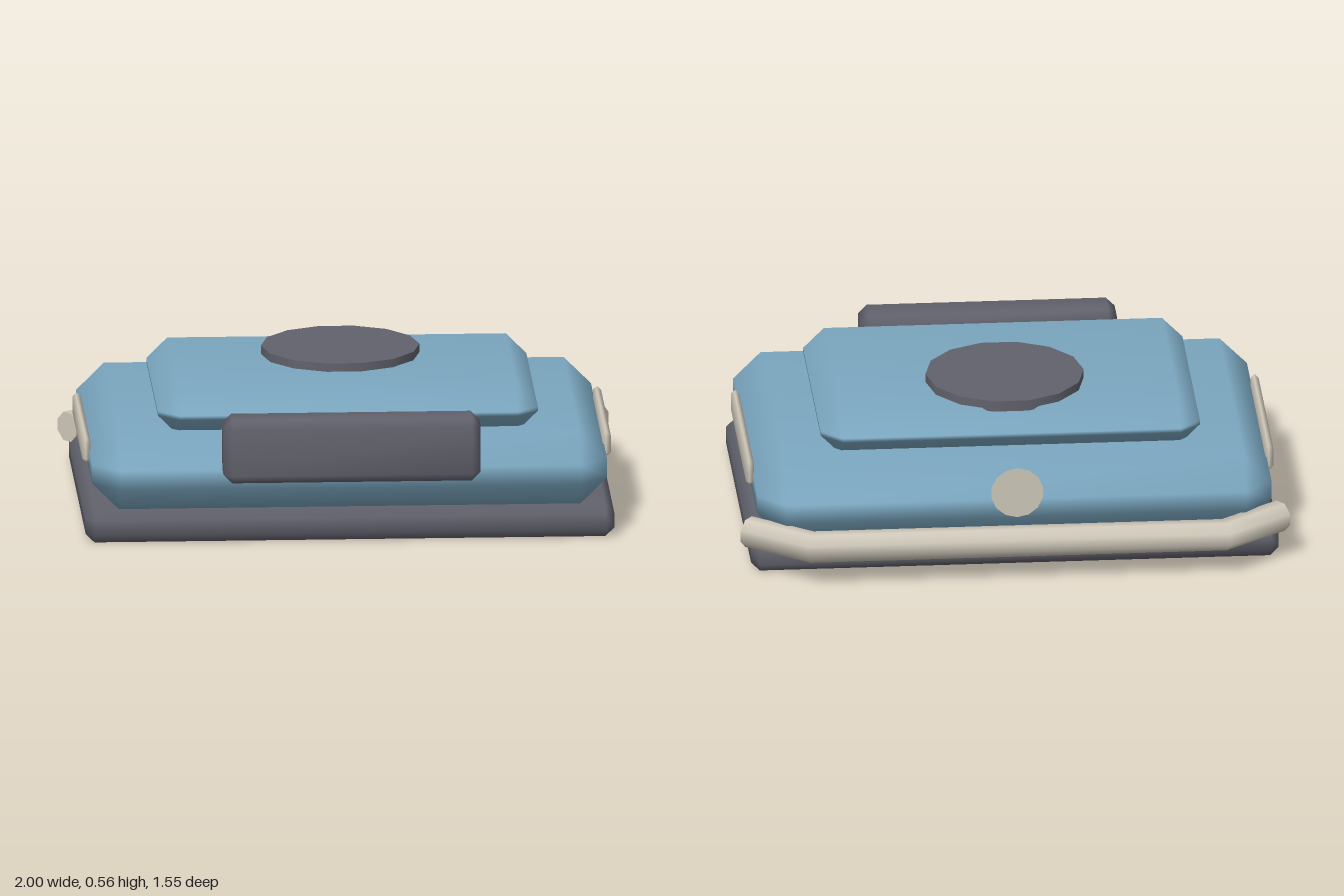
import * as THREE from 'three';
import { mergeVertices } from 'three/addons/utils/BufferGeometryUtils.js';
import { ConvexGeometry } from 'three/addons/geometries/ConvexGeometry.js';

function material(name, color) {
  const m = new THREE.MeshStandardMaterial({ color });
  m.name = name;
  return m;
}

// Box between two corners with a single 45 degree bevel and blended normals
function bevelBox(x0, x1, y0, y1, z0, z1, c) {
  const h = [(x1 - x0) / 2, (y1 - y0) / 2, (z1 - z0) / 2];
  const points = [];
  for (const sx of [-1, 1]) for (const sy of [-1, 1]) for (const sz of [-1, 1]) {
    for (let axis = 0; axis < 3; axis++) {
      const p = h.map((v, i) => (i === axis ? v : v - c));
      points.push(new THREE.Vector3(p[0] * sx, p[1] * sy, p[2] * sz));
    }
  }
  let geometry = new ConvexGeometry(points);
  geometry.deleteAttribute('normal');
  geometry = mergeVertices(geometry, 1e-4);
  geometry.computeVertexNormals();
  geometry.translate((x0 + x1) / 2, (y0 + y1) / 2, (z0 + z1) / 2);
  return geometry;
}

// Octagonal bar swept along a level path of [x, z] points with mitred bends
function sweptBar(path, y, radius) {
  const sides = 8;
  const pts = path.map(([x, z]) => new THREE.Vector2(x, z));
  const dirs = pts.slice(1).map((p, i) => p.clone().sub(pts[i]).normalize());
  const position = [], index = [];
  const rings = pts.map((p, i) => {
    const a = dirs[Math.max(i - 1, 0)], b = dirs[Math.min(i, dirs.length - 1)];
    const t = a.clone().add(b).normalize();
    const stretch = radius / t.dot(a);
    return Array.from({ length: sides }, (_, k) => {
      const angle = ((k + 0.5) / sides) * Math.PI * 2;
      const out = Math.cos(angle) * stretch;
      return [p.x - t.y * out, y + Math.sin(angle) * radius, p.y + t.x * out];
    });
  });
  rings.forEach((ring) => ring.forEach((v) => position.push(...v)));
  for (let i = 0; i < rings.length - 1; i++) {
    for (let k = 0; k < sides; k++) {
      const a = i * sides + k, b = i * sides + ((k + 1) % sides);
      index.push(a, a + sides, b, b, a + sides, b + sides);
    }
  }
  // End caps with their own vertices, so their rims stay sharp
  [rings[0], rings[rings.length - 1]].forEach((ring, end) => {
    const start = position.length / 3;
    ring.forEach((v) => position.push(...v));
    for (let k = 1; k < sides - 1; k++) {
      if (end === 0) index.push(start, start + k, start + k + 1);
      else index.push(start, start + k + 1, start + k);
    }
  });
  const geometry = new THREE.BufferGeometry();
  geometry.setAttribute('position', new THREE.Float32BufferAttribute(position, 3));
  geometry.setIndex(index);
  geometry.computeVertexNormals();
  return geometry;
}

export function createModel() {
  const model = new THREE.Group();
  model.name = 'model';
  const blue = material('shellBlue', 0x7ba7c0);
  const grey = material('darkGrey', 0x62626d);
  const cream = material('trimCream', 0xcfc8ba);
  cream.side = THREE.DoubleSide;

  const add = (name, geometry, mat) => {
    const mesh = new THREE.Mesh(geometry, mat);
    mesh.name = name;
    model.add(mesh);
    return mesh;
  };

  // Stacked main volumes
  add('base', bevelBox(-0.96, 0.96, 0, 0.12, -0.605, 0.62, 0.032), grey);
  add('body', bevelBox(-0.935, 0.935, 0.115, 0.385, -0.658, 0.67, 0.1), blue);
  add('upperDeck', bevelBox(-0.69, 0.69, 0.36, 0.525, -0.437, 0.517, 0.075), blue);

  // Round plate on the deck
  const plate = add('topPlate', new THREE.CylinderGeometry(0.288, 0.288, 0.04, 14), grey);
  plate.position.set(0, 0.536, -0.1);
  plate.rotation.y = Math.PI / 2;

  // Block on the front
  add('frontBlock', bevelBox(-0.467, 0.467, 0.253, 0.487, 0.605, 0.775, 0.032), grey);

  // Trim strips on both sides
  for (const [name, s] of [['leftStrip', 1], ['rightStrip', -1]]) {
    const x = s * 0.945;
    add(name, bevelBox(x - 0.015, x + 0.015, 0.243, 0.328, -0.35, 0.365, 0.012), cream);
  }

  // Bar wrapping the back corners
  add('rearBar', sweptBar(
    [[-0.968, -0.556], [-0.75, -0.722], [0.75, -0.722], [0.968, -0.556]], 0.147, 0.057), cream);

  // Flared round cap on the back
  const cap = add('rearCap', new THREE.CylinderGeometry(0.066, 0.096, 0.03, 14), cream);
  cap.rotation.x = -Math.PI / 2;
  cap.rotation.x += Math.PI; // narrow end faces the body
  cap.position.set(0, 0.32, -0.668);

  return model;
}
